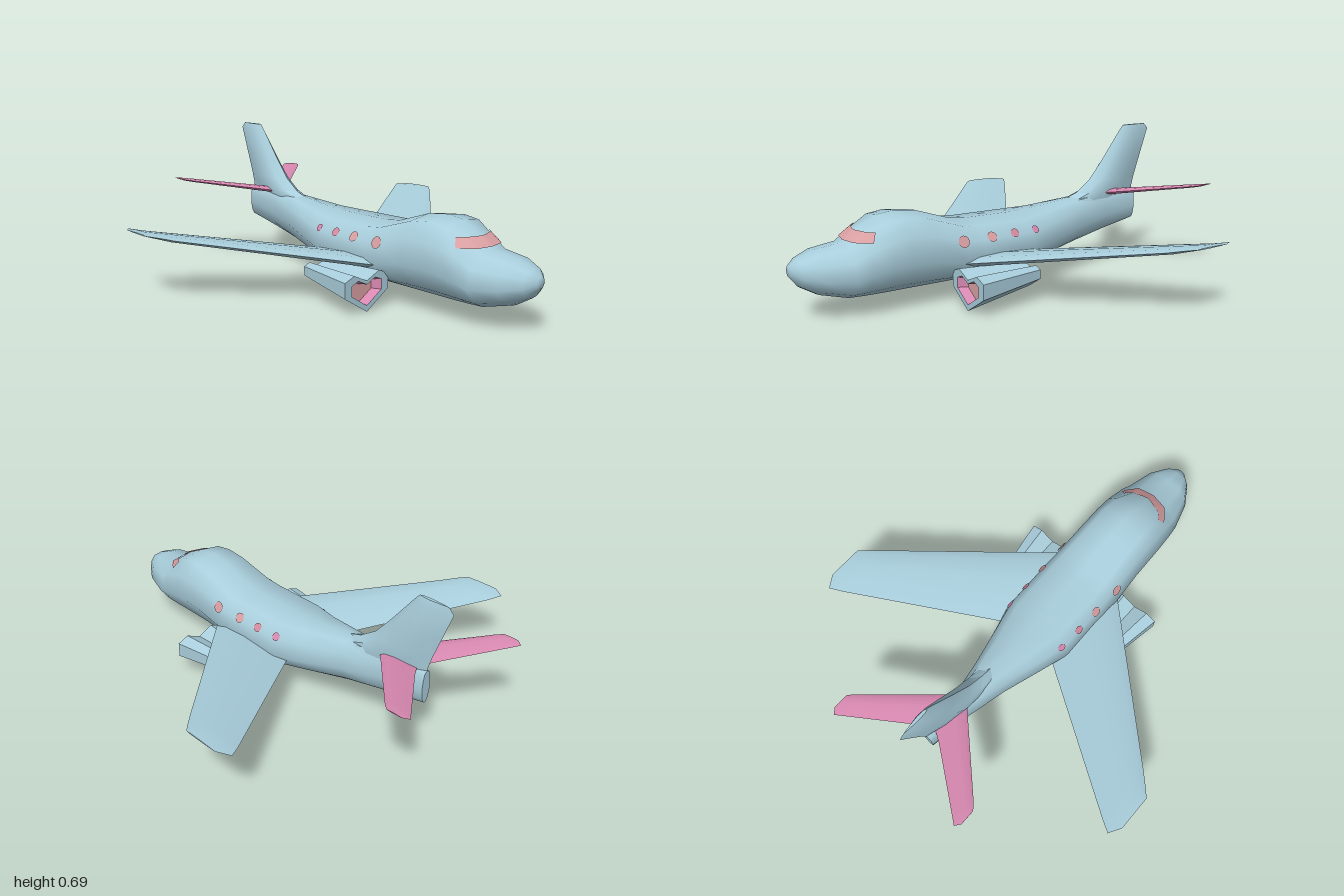
import * as THREE from 'three';
import { toCreasedNormals } from 'three/addons/utils/BufferGeometryUtils.js';

const mat = (name, color, side = THREE.FrontSide) => {
  const m = new THREE.MeshStandardMaterial({ color, side });
  m.name = name;
  return m;
};

// Skin over closed rings of [x, y, z]; ends are closed with fans, faces turned outward.
function loft(rings, crease = 0.9, capStart = true, capEnd = true) {
  const n = rings[0].length, pos = rings.flat().map(p => [...p]), idx = [];
  for (let r = 0; r < rings.length - 1; r++)
    for (let i = 0; i < n; i++) {
      const a = r * n + i, b = r * n + (i + 1) % n;
      idx.push(a, b, a + n, b, b + n, a + n);
    }
  const cap = (r, flip) => {
    const c = pos.length;
    pos.push([0, 1, 2].map(k => rings[r].reduce((s, p) => s + p[k] / n, 0)));
    for (let i = 0; i < n; i++) {
      const a = r * n + i, b = r * n + (i + 1) % n;
      flip ? idx.push(c, b, a) : idx.push(c, a, b);
    }
  };
  if (capStart) cap(0, true);
  if (capEnd) cap(rings.length - 1, false);
  const v = pos.map(p => new THREE.Vector3(...p));
  const mid = v.reduce((s, p) => s.add(p), new THREE.Vector3()).divideScalar(v.length);
  let volume = 0;
  for (let i = 0; i < idx.length; i += 3) {
    const [a, b, c] = [0, 1, 2].map(k => v[idx[i + k]].clone().sub(mid));
    volume += a.dot(b.cross(c));
  }
  if (volume < 0) idx.reverse();
  const g = new THREE.BufferGeometry();
  g.setAttribute('position', new THREE.Float32BufferAttribute(pos.flat(), 3));
  g.setIndex(idx);
  return toCreasedNormals(g, crease);
}

// Fuselage stations: z, bottom, top, half width, roof width fraction
const STATIONS = [
  [1.0, 0.20, 0.245, 0.025, 0.6], [0.965, 0.155, 0.27, 0.072, 0.6], [0.89, 0.11, 0.297, 0.122, 0.55],
  [0.77, 0.077, 0.312, 0.157, 0.5], [0.705, 0.073, 0.362, 0.167, 0.45], [0.61, 0.07, 0.408, 0.175, 0.6],
  [0.53, 0.07, 0.417, 0.178, 0.62], [0.43, 0.07, 0.405, 0.18, 0.62], [0.26, 0.073, 0.348, 0.189, 0.65],
  [0.18, 0.077, 0.338, 0.192, 0.65], [-0.08, 0.085, 0.335, 0.187, 0.65], [-0.22, 0.108, 0.342, 0.147, 0.6],
  [-0.42, 0.145, 0.365, 0.09, 0.55], [-0.6, 0.178, 0.375, 0.052, 0.6], [-0.805, 0.215, 0.37, 0.025, 0.6],
];

// Right half of the cross-section at z, from belly to roof
function halfSection(z) {
  let i = 0;
  while (i < STATIONS.length - 2 && STATIONS[i + 1][0] > z) i++;
  const a = STATIONS[i], b = STATIONS[i + 1], t = (z - a[0]) / (b[0] - a[0]);
  const [, bot, top, w, s] = a.map((v, k) => v + (b[k] - v) * t);
  return [[0, 0], [0.35, 0.04], [0.7, 0.15], [1, 0.42], [0.88, 0.74], [s, 0.95], [0, 1]]
    .map(([x, y]) => [x * w, bot + y * (top - bot)]);
}

// Half width of the fuselage at a given z and height
function bodyX(z, y) {
  const p = halfSection(z);
  for (let i = 0; i < p.length - 1; i++)
    if (y >= p[i][1] && y <= p[i + 1][1])
      return p[i][0] + (p[i + 1][0] - p[i][0]) * (y - p[i][1]) / (p[i + 1][1] - p[i][1]);
  return -1;
}

// Foremost z of the fuselage at a given x and height
function bodyFront(x, y) {
  let lo = 0.53, hi = 0.8;
  for (let k = 0; k < 24; k++) {
    const m = (lo + hi) / 2;
    if (bodyX(m, y) >= x) lo = m; else hi = m;
  }
  return lo;
}

// Streamlined section: leading z, trailing z, half thickness -> [offset, z]
const foil = (lead, trail, t) =>
  [[0, 0], [0.14, 0.8], [0.4, 1], [0.75, 0.55], [1, 0], [0.75, -0.55], [0.4, -1], [0.14, -0.8]]
    .map(([c, o]) => [o * t, lead + c * (trail - lead)]);

// Wing stations: x, y, leading z, trailing z, half thickness
const panel = (stations, s) => loft(stations.map(([x, y, l, r, t]) =>
  foil(l, r, t).map(([o, z]) => [s * x, y + o, z])), 0.75);

// Heart outline around a centre, scaled
const heart = (cx, cy, k, z) =>
  [[0, 0.05], [0.07, 0.083], [0.123, 0.062], [0.123, -0.005], [0, -0.085],
    [-0.123, -0.005], [-0.123, 0.062], [-0.07, 0.083]].map(([x, y]) => [cx + x * k, cy + y * k, z]);

export function createModel() {
  const model = new THREE.Group();
  model.name = 'airplane';
  const blue = mat('light blue paint', 0xa9cedc);
  const pink = mat('pink paint', 0xd788b0, THREE.DoubleSide);
  const salmon = mat('salmon glass', 0xd99fa2, THREE.DoubleSide);
  const rose = mat('rose glass', 0xd58a9f, THREE.DoubleSide);
  const add = (name, geometry, material, parent = model) => {
    const m = new THREE.Mesh(geometry, material);
    m.name = name;
    parent.add(m);
    return m;
  };

  // Fuselage
  add('fuselage', loft(STATIONS.map(([z]) => {
    const h = halfSection(z);
    return [...h, ...h.slice(1, -1).reverse().map(([x, y]) => [-x, y])].map(([x, y]) => [x, y, z]);
  }), 1.0), blue);

  // Tail fin with a swept dorsal ridge: y, leading z, trailing z, half thickness
  add('tailFin', loft([
    [0.30, -0.2, -0.8, 0.04], [0.38, -0.45, -0.805, 0.05], [0.435, -0.53, -0.82, 0.045],
    [0.53, -0.61, -0.853, 0.035], [0.665, -0.715, -0.9, 0.017], [0.69, -0.737, -0.875, 0.008],
  ].map(([y, l, r, t]) => foil(l, r, t).map(([o, z]) => [o, y, z])), 0.9), blue);

  // Wraparound windshield laid on the cabin
  const cols = 16, wp = [], wi = [];
  for (let j = 0; j <= 3; j++)
    for (let i = 0; i <= cols; i++) {
      const u = i / cols * 2 - 1, y = 0.319 + j * 0.0125;
      const x = u * (0.125 - 0.008 * j);
      wp.push(x * 1.03, y + 0.003, bodyFront(Math.abs(x), y) + 0.006);
      if (j < 3 && i < cols) {
        const a = j * (cols + 1) + i, b = a + cols + 1;
        wi.push(a, a + 1, b, a + 1, b + 1, b);
      }
    }
  const glass = new THREE.BufferGeometry();
  glass.setAttribute('position', new THREE.Float32BufferAttribute(wp, 3));
  glass.setIndex(wi);
  glass.computeVertexNormals();
  add('windshield', glass, salmon);

  for (const s of [1, -1]) {
    const side = s > 0 ? 'left' : 'right';

    // Swept wings and tailplanes
    add(side + 'Wing', panel([
      [0.08, 0.168, 0.385, -0.11, 0.026], [0.19, 0.186, 0.28, -0.18, 0.025],
      [0.79, 0.287, -0.285, -0.563, 0.014], [0.845, 0.3, -0.34, -0.595, 0.009],
      [0.878, 0.306, -0.375, -0.54, 0.003],
    ], s), blue);
    add(side + 'Tailplane', panel([
      [0.01, 0.368, -0.56, -0.76, 0.014], [0.06, 0.375, -0.61, -0.79, 0.014],
      [0.325, 0.418, -0.855, -0.98, 0.008], [0.352, 0.423, -0.88, -1.0, 0.006],
      [0.372, 0.427, -0.905, -0.975, 0.002],
    ], s), pink);

    // Round cabin windows
    [[0.285, 0.027, salmon], [0.14, 0.024, salmon], [0.02, 0.021, rose], [-0.095, 0.019, pink]]
      .forEach(([z, r, m], i) => {
        const y = 0.278, x = bodyX(z, y), d = 0.015;
        const normal = new THREE.Vector3(1, -(bodyX(z, y + d) - bodyX(z, y - d)) / (2 * d),
          -(bodyX(z + d, y) - bodyX(z - d, y)) / (2 * d)).normalize();
        const at = new THREE.Vector3(x, y, z).addScaledVector(normal, 0.005);
        at.x *= s;
        normal.x *= s;
        const w = add(`${side}Window${i + 1}`, new THREE.CircleGeometry(r, 12), m);
        w.position.copy(at);
        w.lookAt(at.clone().add(normal));
      });

    // Heart-shaped engine with a recessed intake
    const engine = new THREE.Group();
    engine.name = side + 'Engine';
    model.add(engine);
    const cx = s * 0.262, cy = 0.09;
    const rim = heart(cx, cy, 0.68, 0.325);
    const floor = heart(cx + s * 0.012, cy, 0.6, 0.285);
    add('engineShell', loft([heart(cx - s * 0.005, 0.112, 0.6, 0), heart(cx, cy, 1, 0.325), rim], 0.2, true, false), blue, engine);
    add('intakeWall', loft([rim, floor], 0.2, false, false), pink, engine);
    const disc = new THREE.ShapeGeometry(new THREE.Shape(floor.map(([x, y]) => new THREE.Vector2(x, y))));
    add('intakeFace', disc.translate(0, 0, 0.285), salmon, engine);
  }
  return model;
}
